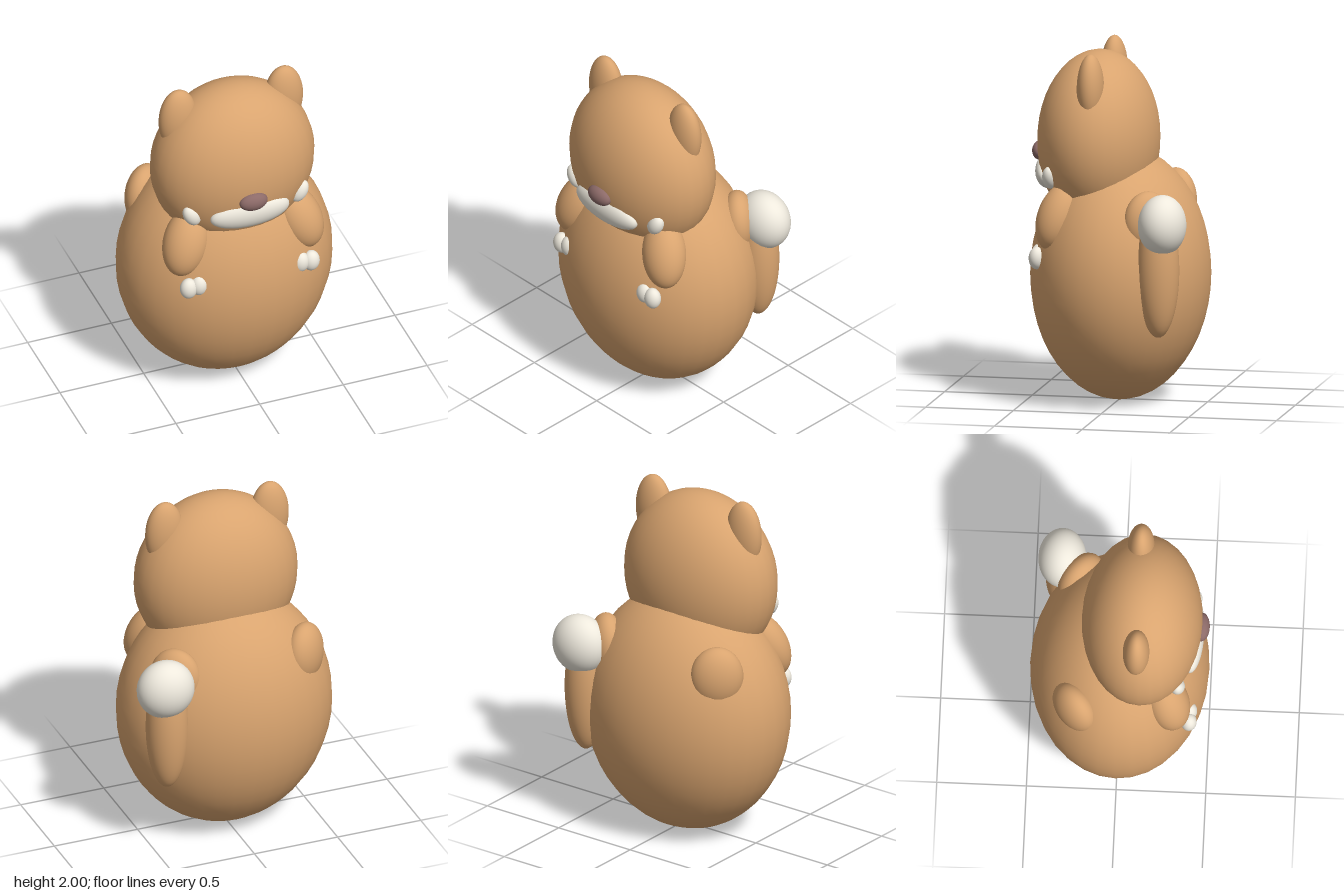
import * as THREE from 'three';

const material = (color) => new THREE.MeshStandardMaterial({ color });

export function createModel() {
  const model = new THREE.Group();
  const fur = material(0xd9a46f);
  const white = material(0xeee9dd);
  const noseColor = material(0x8c6a68);
  const MID = -0.02; // symmetry plane of the animal

  // Smooth ellipsoid with the given centre, radii and tilt
  function blob(name, mat, centre, radii, tilt = [0, 0, 0]) {
    const mesh = new THREE.Mesh(new THREE.SphereGeometry(1, 32, 24), mat);
    mesh.name = name;
    mesh.position.set(...centre);
    mesh.scale.set(...radii);
    mesh.rotation.set(...tilt);
    model.add(mesh);
  }

  // Left and right copies; the centre is given for the left (+x) side, relative to MID
  function pair(name, mat, [x, y, z], radii, [rx, ry, rz] = [0, 0, 0]) {
    for (const [side, s] of [['left', 1], ['right', -1]]) {
      blob(side + name, mat, [MID + s * x, y, z], radii, [rx, s * ry, s * rz]);
    }
  }

  // Body and head
  blob('body', fur, [MID, 0.715, 0], [0.62, 0.71, 0.5]);
  blob('head', fur, [MID, 1.47, 0.125], [0.475, 0.5, 0.337]);
  pair('Ear', fur, [0.315, 1.8, 0.105], [0.113, 0.2, 0.075]);

  // Face
  blob('muzzle', white, [MID, 1.283, 0.4], [0.235, 0.1, 0.07], [0.22, 0, 0]);
  blob('nose', noseColor, [MID, 1.392, 0.457], [0.083, 0.055, 0.045]);
  pair('Cheek', white, [0.322, 1.295, 0.335], [0.046, 0.07, 0.042], [0, 0, -0.5]);

  // Arms, with two little toes each
  pair('Arm', fur, [0.335, 1.08, 0.28], [0.13, 0.2, 0.12], [-0.3, 0, 0.35]);
  pair('OuterToe', white, [0.365, 0.845, 0.4], [0.05, 0.063, 0.045]);
  pair('InnerToe', white, [0.303, 0.852, 0.4], [0.05, 0.063, 0.045]);

  // Low bumps on the back
  pair('BackBump', fur, [0.385, 1.07, -0.235], [0.15, 0.18, 0.1], [0, -0.74, 0]);

  // Upright tail with a round tip
  blob('tail', fur, [0.45, 0.82, -0.315], [0.12, 0.38, 0.118]);
  blob('tailTip', white, [0.47, 1.08, -0.342], [0.166, 0.17, 0.134]);

  return model;
}
